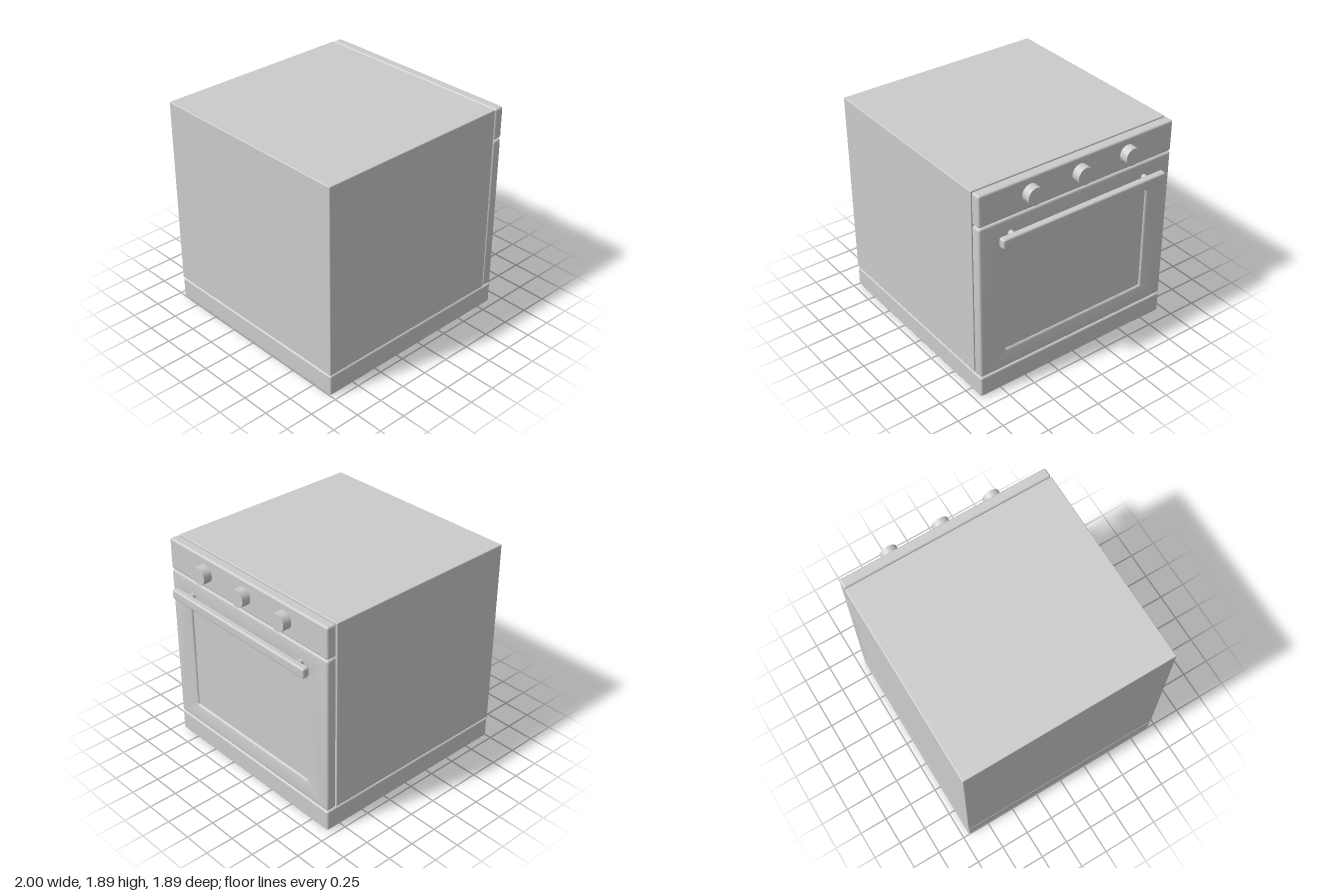
import * as THREE from 'three';
import { RoundedBoxGeometry } from 'three/addons/geometries/RoundedBoxGeometry.js';
import { toCreasedNormals } from 'three/addons/utils/BufferGeometryUtils.js';

const material = new THREE.MeshStandardMaterial({ color: 0xcccccc });

function addMesh(parent, name, geometry, x = 0, y = 0, z = 0) {
  const mesh = new THREE.Mesh(geometry, material);
  mesh.name = name;
  mesh.position.set(x, y, z);
  parent.add(mesh);
  return mesh;
}

// Soft-edged box given by its x and y limits and its half depth in z
function addBox(parent, name, [x0, x1], [y0, y1], halfZ, radius) {
  const geometry = new RoundedBoxGeometry(x1 - x0, y1 - y0, halfZ * 2, 3, radius);
  return addMesh(parent, name, geometry, (x0 + x1) / 2, (y0 + y1) / 2, 0);
}

// Rounded rectangle, added to a Shape or Path
function roundedRect(path, halfW, y0, y1, r) {
  path.moveTo(-halfW + r, y0);
  path.lineTo(halfW - r, y0);
  path.quadraticCurveTo(halfW, y0, halfW, y0 + r);
  path.lineTo(halfW, y1 - r);
  path.quadraticCurveTo(halfW, y1, halfW - r, y1);
  path.lineTo(-halfW + r, y1);
  path.quadraticCurveTo(-halfW, y1, -halfW, y1 - r);
  path.lineTo(-halfW, y0 + r);
  path.quadraticCurveTo(-halfW, y0, -halfW + r, y0);
  return path;
}

// Cylinder lying along x, from x0 to x1
function addRod(parent, name, x0, x1, y, z, radius, sides) {
  const geometry = toCreasedNormals(
    new THREE.CylinderGeometry(radius, radius, x1 - x0, sides), Math.PI / 5);
  geometry.rotateZ(-Math.PI / 2);
  return addMesh(parent, name, geometry, (x0 + x1) / 2, y, z);
}

function createDoor() {
  const door = new THREE.Group();
  door.name = 'door';

  // Frame with a window opening, extruded along x
  const bevel = 0.018;
  const shape = roundedRect(new THREE.Shape(), 0.945, 0.197, 1.605, 0.025);
  shape.holes.push(roundedRect(new THREE.Path(), 0.705, 0.372, 1.33, 0.015));
  const frame = new THREE.ExtrudeGeometry(shape, {
    depth: 0.09 - 2 * bevel, bevelEnabled: true, bevelThickness: bevel,
    bevelSize: bevel, bevelOffset: -bevel, bevelSegments: 3, curveSegments: 4,
  });
  frame.rotateY(Math.PI / 2);
  addMesh(door, 'doorFrame', toCreasedNormals(frame, Math.PI / 5), 0.798 + bevel);

  // Window pane set slightly back in the frame
  addMesh(door, 'window', new THREE.BoxGeometry(0.06, 0.98, 1.43), 0.842, 0.851);

  // Handle bar on two short posts
  addBox(door, 'handleBar', [0.938, 1], [1.43, 1.515], 0.803, 0.016);
  for (const side of [-1, 1]) {
    addRod(door, 'handlePost', 0.87, 0.95, 1.472, side * 0.66, 0.024, 16);
  }
  return door;
}

export function createModel() {
  const oven = new THREE.Group();
  oven.name = 'oven';

  // Cabinet, plinth and control panel
  addBox(oven, 'body', [-1, 0.792], [0.197, 1.89], 0.945, 0.008);
  addBox(oven, 'base', [-1, 0.888], [0, 0.19], 0.945, 0.018);
  addBox(oven, 'controlPanel', [0.798, 0.888], [1.612, 1.89], 0.945, 0.018);

  oven.add(createDoor());

  // Three control knobs
  for (const z of [-0.475, 0, 0.475]) {
    addRod(oven, 'knob', 0.87, 0.965, 1.755, z, 0.075, 32);
  }
  return oven;
}
